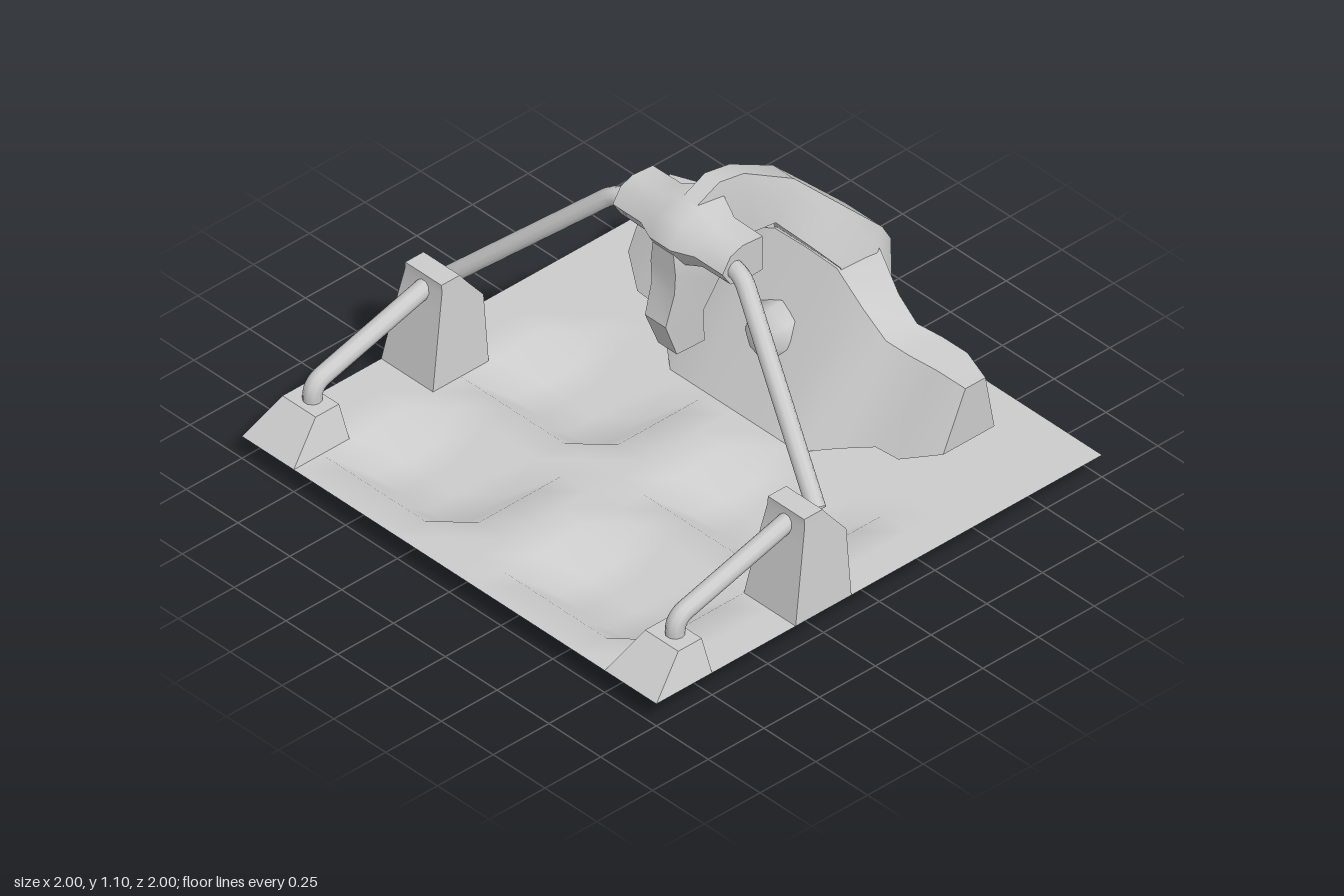
import * as THREE from 'three';
import { toCreasedNormals } from 'three/addons/utils/BufferGeometryUtils.js';

const material = new THREE.MeshStandardMaterial({ color: 0xcccccc, side: THREE.DoubleSide });
const GROUND = 0.09;

function part(name, geometry) {
  const mesh = new THREE.Mesh(geometry, material);
  mesh.name = name;
  return mesh;
}

// Skin a series of closed cross-sections; caps are optional, faces end up outward
function loft(rings, { crease = 0.6, capStart = true, capEnd = true } = {}) {
  const n = rings[0].length;
  const pts = rings.flat();
  const tris = [];
  for (let r = 0; r < rings.length - 1; r++) {
    for (let i = 0; i < n; i++) {
      const a = r * n + i, b = r * n + (i + 1) % n;
      tris.push([a, b, b + n], [a, b + n, a + n]);
    }
  }
  const last = (rings.length - 1) * n;
  for (let i = 1; i < n - 1; i++) {
    if (capStart) tris.push([0, i + 1, i]);
    if (capEnd) tris.push([last, last + i, last + i + 1]);
  }
  const centre = new THREE.Vector3();
  pts.forEach((p) => centre.addScaledVector(p, 1 / pts.length));
  const rel = pts.map((p) => p.clone().sub(centre));
  let volume = 0;
  for (const [a, b, c] of tris) volume += rel[a].dot(rel[b].clone().cross(rel[c]));
  const index = tris.flatMap(([a, b, c]) => (volume < 0 ? [a, c, b] : [a, b, c]));
  const geometry = new THREE.BufferGeometry().setFromPoints(pts);
  geometry.setIndex(index);
  return toCreasedNormals(geometry, crease);
}

const v = (x, y, z) => new THREE.Vector3(x, y, z);

// Four-sided column from levels [y, zFront, zBack, halfFront, halfBack] around x
function column(levels, x = 0, options) {
  return loft(levels.map(([y, zf, zb, wf, wb = wf]) => [
    v(x - wf, y, zf), v(x + wf, y, zf), v(x + wb, y, zb), v(x - wb, y, zb),
  ]), options);
}

// Straight pipe with one rounded bend
function pipe(a, corner, b, radius, bend) {
  const p = corner.clone().add(a.clone().sub(corner).setLength(bend));
  const q = corner.clone().add(b.clone().sub(corner).setLength(bend));
  const path = new THREE.CurvePath();
  path.add(new THREE.LineCurve3(a, p));
  path.add(new THREE.QuadraticBezierCurve3(p, corner, q));
  path.add(new THREE.LineCurve3(q, b));
  return new THREE.TubeGeometry(path, 48, radius, 10);
}

// Floor sheet with four shallow pits and openings below the pylons
function makeGround() {
  const geometry = new THREE.PlaneGeometry(2, 2, 16, 16).rotateX(-Math.PI / 2);
  const pos = geometry.attributes.position;
  const within = (t, lo, hi) => t > lo - 0.01 && t < hi + 0.01;
  for (let i = 0; i < pos.count; i++) {
    const x = Math.abs(pos.getX(i)), z = pos.getZ(i);
    const pit = within(x, 0.25, 0.625) && (within(z, -0.125, 0.125) || within(z, 0.5, 0.75));
    pos.setY(i, pit ? 0 : GROUND);
  }
  geometry.computeVertexNormals();
  const old = geometry.index.array, kept = [];
  for (let i = 0; i < old.length; i += 3) {
    const tri = [old[i], old[i + 1], old[i + 2]];
    const x = Math.abs(tri.reduce((s, k) => s + pos.getX(k), 0) / 3);
    const z = tri.reduce((s, k) => s + pos.getZ(k), 0) / 3;
    const opening = x > 0.75 && (z > 0.75 || (z > 0.125 && z < 0.375));
    if (!opening) kept.push(...tri);
  }
  geometry.setIndex(kept);
  return geometry;
}

// Wide winged base: stations [x, then y,z of front bottom, front top, back top, back bottom]
function makeBase() {
  const half = [
    [0, 0.09, -0.28, 0.6, -0.6, 0.6, -0.85, 0.09, -0.9],
    [0.15, 0.09, -0.28, 0.595, -0.6, 0.56, -0.8, 0.09, -0.88],
    [0.31, 0.09, -0.28, 0.53, -0.57, 0.51, -0.73, 0.09, -0.81],
    [0.42, 0.125, -0.36, 0.46, -0.57, 0.46, -0.71, 0.09, -0.8],
    [0.52, 0.15, -0.43, 0.45, -0.58, 0.45, -0.73, 0.11, -0.8],
    [0.63, 0.16, -0.43, 0.44, -0.6, 0.44, -0.74, 0.14, -0.8],
    [0.76, 0.21, -0.51, 0.43, -0.61, 0.43, -0.7, 0.21, -0.74],
  ];
  const mirrored = half.slice(1).reverse().map(([x, ...rest]) => [-x, ...rest]);
  return loft([...mirrored, ...half].map(([x, ...c]) =>
    [0, 2, 4, 6].map((k) => v(x, c[k], c[k + 1]))), { crease: 0.7 });
}

// Arched spine: stations [outer y, z, inner y, z, outer half width, inner half width]
function makeSpine() {
  return loft([
    [1.03, -0.03, 0.9, -0.05, 0.035, 0.045],
    [1.10, -0.18, 0.84, -0.18, 0.035, 0.055],
    [1.08, -0.29, 0.84, -0.30, 0.035, 0.055],
    [0.96, -0.50, 0.84, -0.40, 0.05, 0.07],
    [0.78, -0.68, 0.72, -0.505, 0.075, 0.11],
    [0.60, -0.86, 0.595, -0.61, 0.09, 0.16],
    [0.53, -0.90, 0.45, -0.61, 0.09, 0.18],
    [0.33, -0.92, 0.30, -0.62, 0.07, 0.22],
    [0.09, -0.905, 0.09, -0.62, 0.05, 0.25],
  ].map(([oy, oz, iy, iz, wo, wi]) => {
    const my = oy + (iy - oy) * 0.35, mz = oz + (iz - oz) * 0.35;
    const wm = wo + (wi - wo) * 0.75;
    return [v(-wo, oy, oz), v(wo, oy, oz), v(wm, my, mz),
      v(wi, iy, iz), v(-wi, iy, iz), v(-wm, my, mz)];
  }), { crease: 0.8 });
}

// Crosswise hub, rounded in front and flat behind, swelling at the middle
function makeHub() {
  const section = [[1, 0], [0.6, 0.75], [0, 1], [-1, 0.9], [-1, -0.9], [0, -1], [0.6, -0.75]];
  const stations = [[0.265, 0.075, -0.07, 0.09], [0.13, 0.078, -0.07, 0.09], [0.05, 0.108, -0.067, 0.122]];
  const all = [...stations, ...stations.map(([x, ...r]) => [-x, ...r]).reverse()];
  return loft(all.map(([x, h, zc, d]) =>
    section.map(([z, y]) => v(x, 0.947 + y * h, zc + z * d))), { crease: 0.9 });
}

export function createModel() {
  const model = new THREE.Group();
  model.name = 'archMachine';
  model.add(
    part('ground', makeGround()),
    part('base', makeBase()),
    part('spine', makeSpine()),
    part('hub', makeHub()),
  );

  // Hanging nozzle below the hub
  model.add(part('nozzle', column([
    [0.92, 0.04, -0.18, 0.05, 0.1],
    [0.84, 0.04, -0.18, 0.06, 0.11],
    [0.76, 0.04, -0.135, 0.055, 0.085],
    [0.64, 0.075, -0.08, 0.05, 0.065],
    [0.5, 0.02, -0.1, 0.045, 0.05],
  ])));

  // Ball set into the sloping face of the base
  const ball = part('ball', new THREE.SphereGeometry(0.116, 8, 8).rotateX(Math.PI / 2));
  ball.position.set(0, 0.32, -0.485);
  model.add(ball);

  // Paired pylons and pipes
  for (const [side, s] of [['left', 1], ['right', -1]]) {
    const x = 0.875 * s;
    const open = { capStart: false, crease: 0.3 };
    model.add(part(side + 'TallPylon', column([
      [GROUND, 0.375, 0.125, 0.125],
      [0.35, 0.322, 0.125, 0.1],
      [0.44, 0.302, 0.198, 0.09],
      [0.47, 0.302, 0.22, 0.0875],
    ], x, open)));
    model.add(part(side + 'ShortPylon', column([
      [GROUND, 1, 0.75, 0.125],
      [0.21, 0.86, 0.755, 0.08],
    ], x, open)));
    model.add(part(side + 'LowPipe', pipe(
      v(x, 0.425, 0.25), v(x, 0.27, 0.8), v(x, 0.18, 0.8), 0.034, 0.05)));
    model.add(part(side + 'HighPipe', pipe(
      v(0.24 * s, 0.945, -0.04), v(0.31 * s, 0.94, -0.03), v(0.88 * s, 0.4, 0.17), 0.033, 0.04)));
  }
  return model;
}
